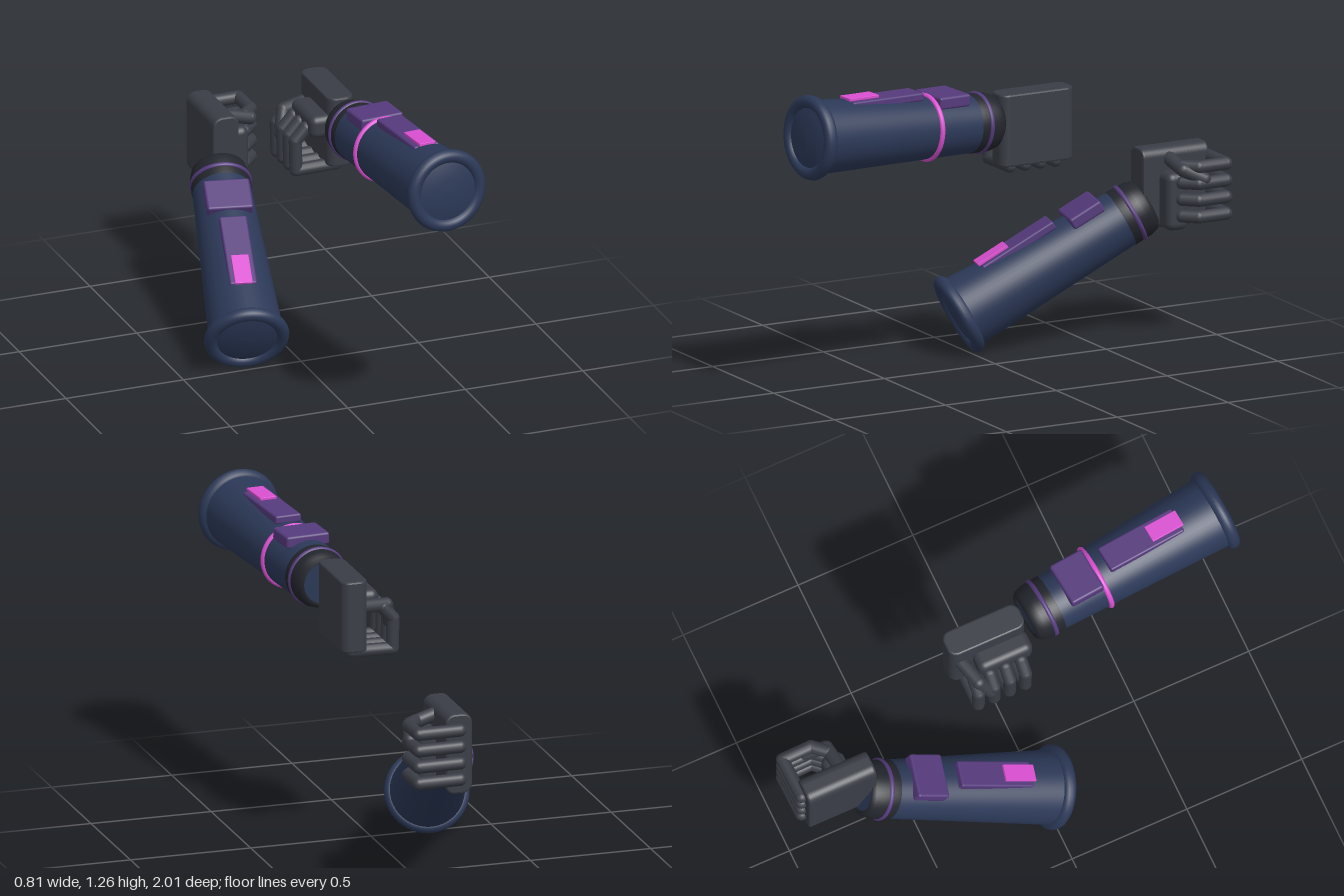
import * as THREE from 'three';
import { RoundedBoxGeometry } from 'three/addons/geometries/RoundedBoxGeometry.js';

const V = (x, y, z) => new THREE.Vector3(x, y, z);
const mat = (color, side = THREE.FrontSide) => new THREE.MeshStandardMaterial({ color, side });
const blue = mat(0x2b3857), dark = mat(0x22252c, THREE.DoubleSide), grey = mat(0x3a3d46);
const purple = mat(0x553a7c), pink = mat(0xd94fd0);

function add(parent, name, geometry, material, x = 0, y = 0, z = 0) {
  const mesh = new THREE.Mesh(geometry, material);
  mesh.name = name;
  mesh.position.set(x, y, z);
  parent.add(mesh);
  return mesh;
}

// Chain of capsules joining a list of points
function digit(parent, name, points, radius) {
  const group = new THREE.Group();
  group.name = name;
  for (let i = 1; i < points.length; i++) {
    const dir = points[i].clone().sub(points[i - 1]);
    const bone = add(group, name + 'Segment', new THREE.CapsuleGeometry(radius, dir.length(), 6, 14), grey);
    bone.position.copy(points[i - 1]).addScaledVector(dir, 0.5);
    bone.quaternion.setFromUnitVectors(V(0, 1, 0), dir.normalize());
  }
  parent.add(group);
}

// Rounded rectangle for the palm cross-section
function roundedRect(w, h, r) {
  const s = new THREE.Shape(), x = w / 2 - r, y = h / 2 - r;
  s.absarc(x, y, r, 0, Math.PI / 2);
  s.absarc(-x, y, r, Math.PI / 2, Math.PI);
  s.absarc(-x, -y, r, Math.PI, Math.PI * 1.5);
  s.absarc(x, -y, r, Math.PI * 1.5, Math.PI * 2);
  s.closePath();
  return s;
}

// Fist: fingers point along -z, thumb side is +y, palm faces s * x
function makeHand(name, s) {
  const hand = new THREE.Group();
  hand.name = name;
  const bevel = 0.008;
  const palm = new THREE.ExtrudeGeometry(roundedRect(0.11 - 2 * bevel, 0.33 - 2 * bevel, 0.03), {
    depth: 0.295 - 2 * bevel, bevelThickness: bevel, bevelSize: bevel, bevelSegments: 2, curveSegments: 8,
  });
  palm.translate(0, 0, -(0.295 - 2 * bevel) / 2);
  add(hand, 'palm', palm, grey);
  add(hand, 'palmPad', new RoundedBoxGeometry(0.1, 0.235, 0.095, 4, 0.03), grey, s * 0.08, -0.045, 0.028);
  for (let i = 0; i < 4; i++) {
    const y = (i - 1.5) * 0.068;
    digit(hand, 'finger', [
      V(0, y, -0.157), V(s * 0.172, y, -0.16), V(s * 0.175, y, -0.035), V(s * 0.13, y, 0.015),
    ], 0.026);
  }
  digit(hand, 'thumb', [V(s * 0.04, 0.12, 0.03), V(s * 0.15, 0.09, 0.02), V(s * 0.175, 0.05, -0.06)], 0.028);
  return hand;
}

// Forearm along +y from the elbow rim to the wrist, armour plates on +z
function makeForearm(name, start, end, hasBand) {
  const arm = new THREE.Group();
  arm.name = name;
  const radiusAt = (t) => 0.149 - 0.042 * t;
  const lathe = (pts) => new THREE.LatheGeometry(pts.map(([r, y]) => new THREE.Vector2(r, y)), 48);
  const ring = (label, r, tube, t, m) => {
    add(arm, label, new THREE.TorusGeometry(r, tube, 12, 56), m, 0, t, 0).rotation.x = Math.PI / 2;
  };

  // Tapered sleeve, shallow dome at the elbow and flat end at the wrist
  add(arm, 'elbowCap', lathe([[0, -0.026], [0.05, -0.024], [0.1, -0.018], [0.146, -0.004]]), blue);
  add(arm, 'sleeve', lathe([[0.146, -0.004], [0.149, 0.02], [radiusAt(0.4), 0.4], [radiusAt(0.76), 0.76]]), blue);
  add(arm, 'wristCap', new THREE.CylinderGeometry(0.088, 0.11, 0.12, 48), blue, 0, 0.8, 0);
  ring('elbowRim', 0.143, 0.027, 0, blue);

  // Wrist cuff
  add(arm, 'cuff', lathe([[0.112, 0.74], [0.12, 0.75], [0.117, 0.825], [0.108, 0.855], [0.092, 0.87], [0.085, 0.86]]), dark);
  ring('cuffRing', 0.115, 0.01, 0.79, purple);
  if (hasBand) ring('glowBand', radiusAt(0.54), 0.011, 0.545, pink);

  // Plates lie along the taper of the sleeve
  const plate = (label, w, len, thick, t, lift, m, r) => {
    const p = add(arm, label, new RoundedBoxGeometry(w, len, thick, 2, r), m, 0, t, radiusAt(t) + lift - thick / 2);
    p.rotation.x = 0.042;
  };
  plate('wristPlate', 0.185, 0.145, 0.05, 0.625, 0.016, purple, 0.01);
  plate('forearmPlate', 0.11, 0.335, 0.034, 0.33, 0.012, purple, 0.008);
  plate('glowPanel', 0.07, 0.14, 0.012, 0.225, 0.0155, pink, 0.002);

  const dir = end.clone().sub(start).normalize();
  const up = V(0, 1, 0).addScaledVector(dir, -dir.y).normalize();
  arm.quaternion.setFromRotationMatrix(new THREE.Matrix4().makeBasis(dir.clone().cross(up), dir, up));
  arm.position.copy(start);
  return arm;
}

export function createModel() {
  const model = new THREE.Group();
  model.name = 'armouredArms';

  model.add(makeForearm('upperForearm', V(0.235, 1.09, 0.963), V(0.159, 1.038, 0.1), true));
  const upperHand = makeHand('upperHand', -1);
  upperHand.position.set(0.145, 0.998, -0.088);
  upperHand.rotation.x = -Math.PI / 2;
  model.add(upperHand);

  model.add(makeForearm('lowerForearm', V(-0.243, 0.157, 0.03), V(-0.067, 0.557, -0.72), false));
  const lowerHand = makeHand('lowerHand', 1);
  lowerHand.position.set(-0.052, 0.628, -0.815);
  model.add(lowerHand);

  return model;
}
